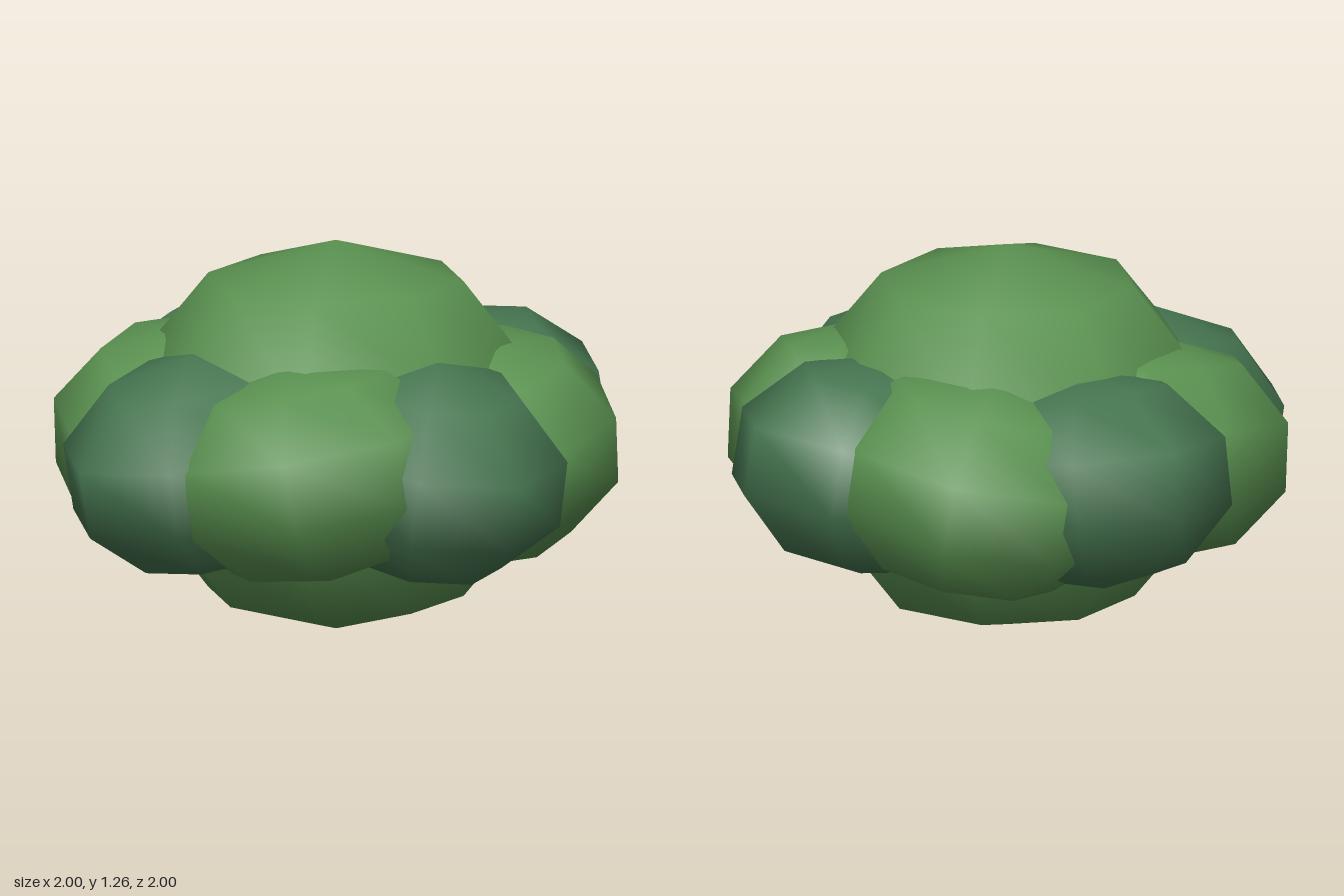
import * as THREE from 'three';

export function createModel() {
  const model = new THREE.Group();
  model.name = 'bush';

  const leafGreen = new THREE.MeshStandardMaterial({ color: 0x5a9150 });
  leafGreen.name = 'leafGreen';
  const deepGreen = new THREE.MeshStandardMaterial({ color: 0x467550 });
  deepGreen.name = 'deepGreen';

  // Coarse, smooth-shaded ball shared by every clump
  const ball = new THREE.SphereGeometry(1, 8, 5);

  function clump(name, material, position, scale, yaw = 0, lean = 0) {
    const mesh = new THREE.Mesh(ball, material);
    mesh.name = name;
    mesh.position.set(...position);
    mesh.scale.set(...scale);
    mesh.rotation.set(0, yaw, lean, 'YXZ');
    model.add(mesh);
  }

  // Large middle clump
  clump('middleClump', leafGreen, [0, 0.632, 0], [0.7, 0.632, 0.7]);

  // Ring of eight leaning clumps, alternating in colour;
  // the darker ones lie radially, the lighter ones across
  const ringRadius = 0.494;
  const yaws = [0, Math.PI / 4, Math.PI / 2, -Math.PI / 4];
  for (let i = 0; i < 8; i++) {
    const angle = (i * Math.PI) / 4;
    const position = [Math.cos(angle) * ringRadius, 0.613, Math.sin(angle) * ringRadius];
    clump(`outerClump${i + 1}`, i % 2 ? leafGreen : deepGreen, position, [0.52, 0.356, 0.433], yaws[i % 4], 0.185);
  }

  return model;
}
